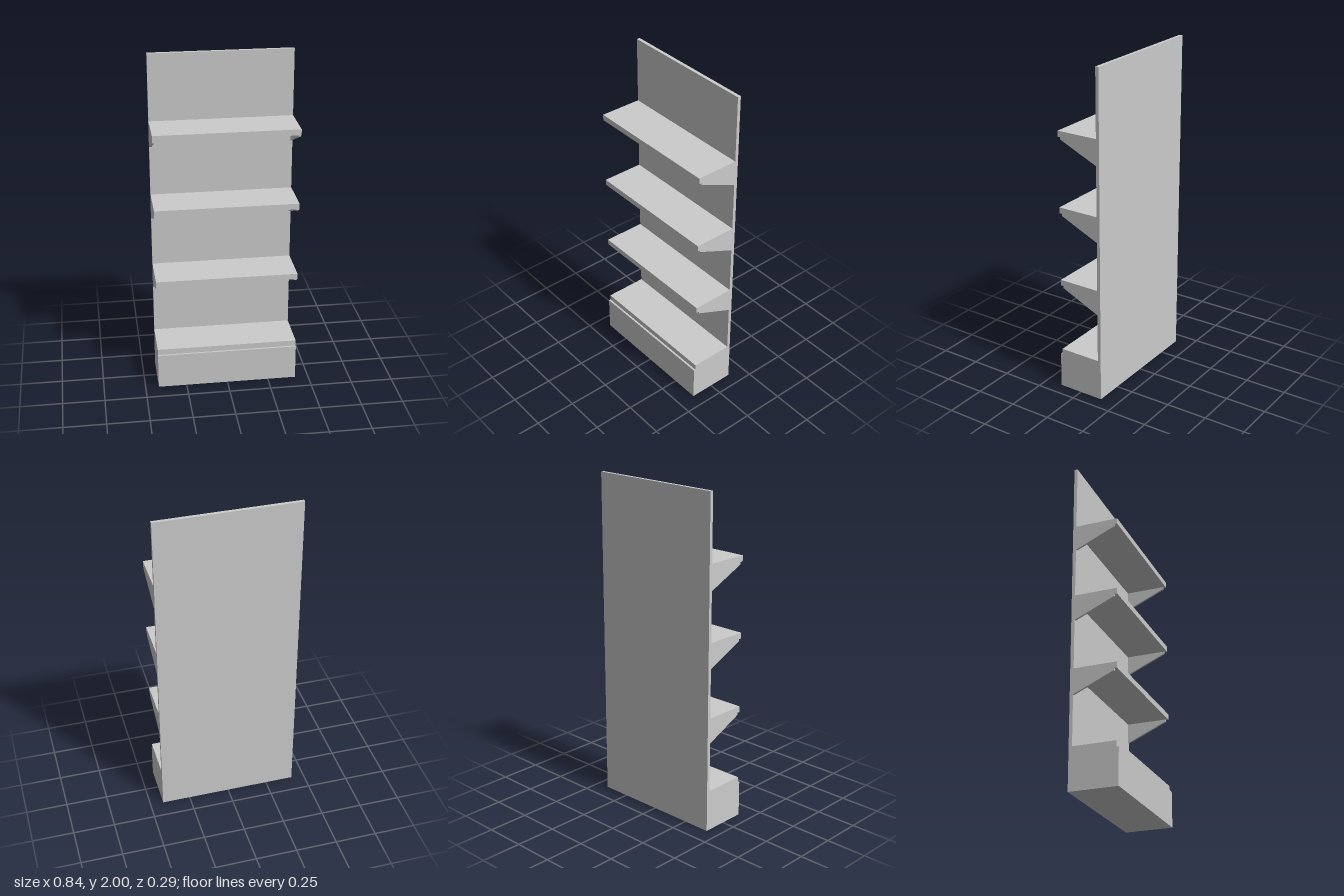
import * as THREE from 'three';

const WIDTH = 0.84, BACK = -0.144, PANEL_FRONT = -0.124, SHELF_FRONT = 0.131, BASE_FRONT = 0.143;
const SHELF_THICKNESS = 0.035, BRACKET_THICKNESS = 0.013;

export function createModel() {
  const group = new THREE.Group();
  const material = new THREE.MeshStandardMaterial({ color: 0xcccccc, flatShading: true });

  // Full-width board between two heights and two depths
  function board(name, y0, y1, z0, z1) {
    const mesh = new THREE.Mesh(new THREE.BoxGeometry(WIDTH, y1 - y0, z1 - z0), material);
    mesh.position.set(0, (y0 + y1) / 2, (z0 + z1) / 2);
    mesh.name = name;
    group.add(mesh);
  }

  board('backPanel', 0, 2, BACK, PANEL_FRONT);
  board('basePlinth', 0, 0.215, PANEL_FRONT, BASE_FRONT);

  // Tapered bracket profile: x runs forward, y is measured from the shelf underside
  const profile = new THREE.Shape([
    new THREE.Vector2(PANEL_FRONT, 0),
    new THREE.Vector2(PANEL_FRONT, -0.119),
    new THREE.Vector2(0.114, -0.013),
    new THREE.Vector2(0.114, 0),
  ]);
  const bracketGeometry = new THREE.ExtrudeGeometry(profile, { depth: BRACKET_THICKNESS, bevelEnabled: false });
  bracketGeometry.translate(0, 0, -BRACKET_THICKNESS / 2);
  bracketGeometry.rotateY(-Math.PI / 2);

  // Shelves; the lowest rests on the plinth, the others on a bracket at each end
  [0.25, 0.702, 1.152, 1.603].forEach((top, i) => {
    const underside = top - SHELF_THICKNESS;
    board(`shelf${i + 1}`, underside, top, PANEL_FRONT, SHELF_FRONT);
    if (i === 0) return;
    for (const side of [-1, 1]) {
      const bracket = new THREE.Mesh(bracketGeometry, material);
      bracket.position.set(side * (WIDTH - BRACKET_THICKNESS) / 2, underside, 0);
      bracket.name = `${side > 0 ? 'left' : 'right'}Bracket${i + 1}`;
      group.add(bracket);
    }
  });

  return group;
}
